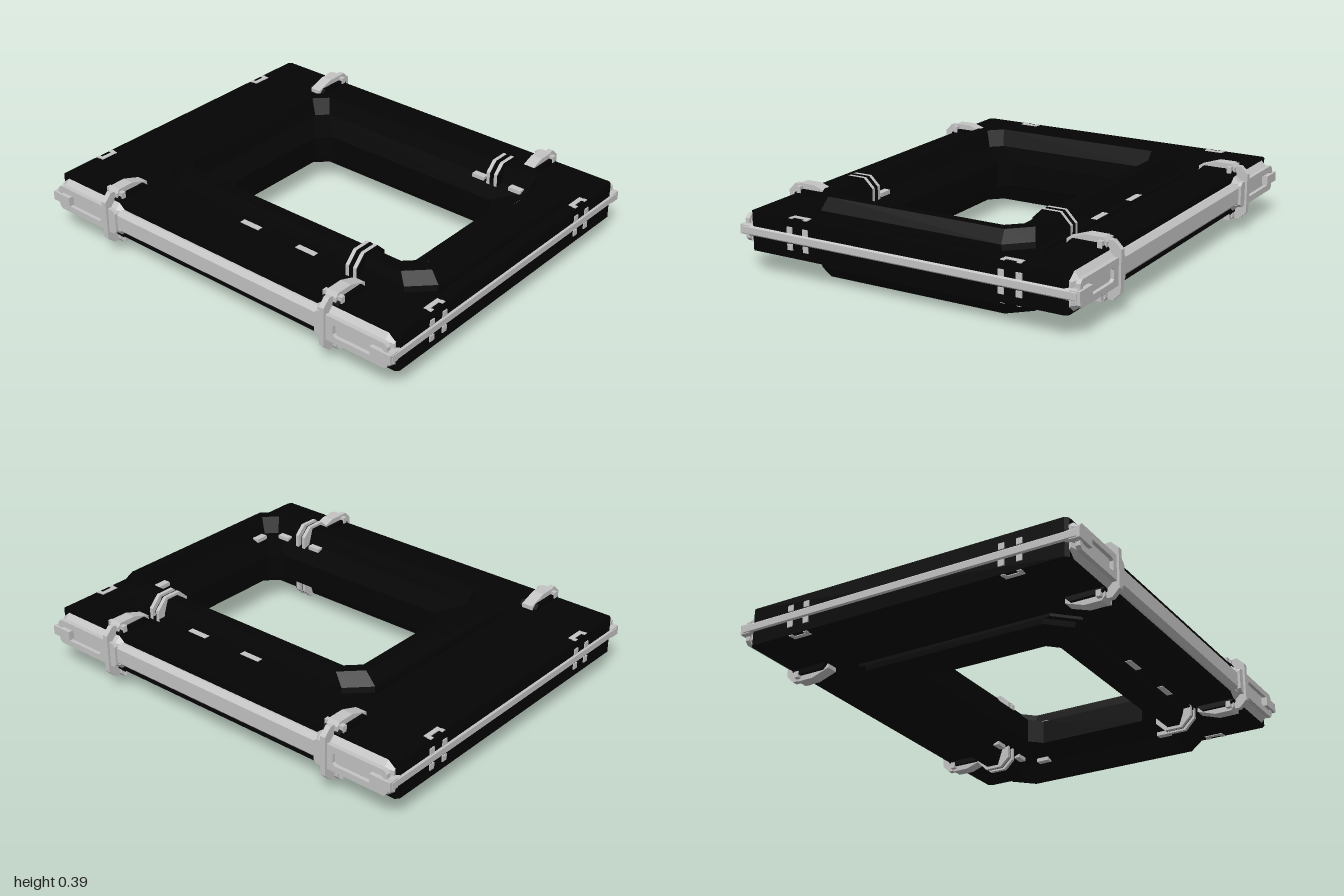
import * as THREE from 'three';

const MID = 0.197; // height of the horizontal symmetry plane

export function createModel() {
  const model = new THREE.Group();
  const black = new THREE.MeshStandardMaterial({ color: 0x040404, flatShading: true });
  black.name = 'black';
  const silver = new THREE.MeshStandardMaterial({ color: 0xc4c4c4, flatShading: true });
  silver.name = 'silver';

  const add = (name, geo, mat, parent = model) => {
    const mesh = new THREE.Mesh(geo, mat);
    mesh.name = name;
    parent.add(mesh);
    return mesh;
  };
  const box = (name, mat, w, h, d, x, y, z, parent = model) => {
    const mesh = add(name, new THREE.BoxGeometry(w, h, d), mat, parent);
    mesh.position.set(x, y, z);
    return mesh;
  };
  const poly = (pts) => new THREE.Shape(pts.map(([x, y]) => new THREE.Vector2(x, y)));
  const cutRect = (x0, x1, y0, y1, c) => [
    [x0 + c, y0], [x1 - c, y0], [x1, y0 + c], [x1, y1 - c],
    [x1 - c, y1], [x0 + c, y1], [x0, y1 - c], [x0, y0 + c]];
  // Extrusion along z, centred at z
  const extrude = (shape, depth, z, bevel = null) => {
    const geo = new THREE.ExtrudeGeometry(shape, { depth, bevelEnabled: false, ...bevel });
    return geo.translate(0, 0, z - depth / 2);
  };

  // Flat slab, cut out under the raised frame
  const slabShape = poly(cutRect(-0.79, 0.79, -0.99, 0.99, 0.015));
  slabShape.holes.push(poly(cutRect(-0.5, 0.5, -0.85, 0.52, 0.08)));
  const slab = extrude(slabShape, 0.177, 0);
  slab.rotateX(-Math.PI / 2).translate(0, MID, 0);
  add('slab', slab, black);

  // Raised frame round the opening: octagonal loops of half width, back, front, corner cut, y
  const upper = [
    [0.588, -0.6, 0.93, 0.1, 0.284],
    [0.588, -0.6, 0.93, 0.1, 0.299],
    [0.555, -0.6, 0.93, 0.1, 0.3],
    [0.55, -0.598, 0.928, 0.1, 0.325],
    [0.53, -0.54, 0.885, 0.09, 0.377],
    [0.47, -0.5, 0.84, 0.06, 0.377],
    [0.445, -0.47, 0.81, 0.05, 0.3],
    [0.335, -0.368, 0.678, 0.058, 0.256]];
  const sections = [...upper, ...upper.slice().reverse().map((s) => [...s.slice(0, 4), 2 * MID - s[4]])];
  const loops = sections.map(([x, b, f, c, y]) => [
    [x, y, b + c], [x, y, f - c], [x - c, y, f], [c - x, y, f],
    [-x, y, f - c], [-x, y, b + c], [c - x, y, b], [x - c, y, b]]);
  const verts = [];
  loops.forEach((loop, i) => {
    const next = loops[(i + 1) % loops.length];
    for (let j = 0; j < 8; j++) {
      const k = (j + 1) % 8;
      verts.push(...loop[j], ...next[j], ...next[k], ...loop[j], ...next[k], ...loop[k]);
    }
  });
  const frameGeo = new THREE.BufferGeometry();
  frameGeo.setAttribute('position', new THREE.Float32BufferAttribute(verts, 3));
  frameGeo.computeVertexNormals();
  add('raisedFrame', frameGeo, black);

  // Edge strips along front and back
  for (const e of [-1, 1]) {
    const strip = extrude(poly(cutRect(-0.025, 0.025, -0.025, 0.025, 0.01)), 1.66, 0);
    add('edgeStrip', strip.rotateY(Math.PI / 2).translate(0, MID, e * 0.972), silver);
  }

  for (const s of [-1, 1]) {
    const xRange = (a, b) => (s > 0 ? [a, b] : [-b, -a]);

    // Side rail
    const [r0, r1] = xRange(0.755, 0.822);
    add('sideRail', extrude(poly(cutRect(r0, r1, MID - 0.058, MID + 0.058, 0.022)), 1.3, 0), silver);

    for (const e of [-1, 1]) {
      // Thick tapered rail end
      const [a, b] = xRange(0.73, 0.797);
      add('railEnd', extrude(poly(cutRect(a, b, MID - 0.066, MID + 0.066, 0.018)), 0.34, e * 0.772,
        { bevelEnabled: true, bevelThickness: 0.035, bevelSize: 0.02, bevelSegments: 1 }), silver);

      // Slotted guard on the rail end
      const guard = poly(cutRect(-0.19, 0.19, -0.06, 0.06, 0.015));
      guard.holes.push(poly(cutRect(-0.09, 0.175, -0.03, 0.03, 0.01)));
      const guardGeo = extrude(guard, 0.022, 0).rotateY(-e * Math.PI / 2);
      add('slottedGuard', guardGeo.translate(s * 0.823, MID, e * 0.78), silver);
      box('cornerCap', silver, 0.05, 0.044, 0.105, s * 0.82, MID, e * 0.942);

      // Clamp: black pad, band round the rail, and arms above and below
      const clamp = new THREE.Group();
      clamp.name = 'clamp';
      clamp.position.z = e * 0.643 - 0.005;
      model.add(clamp);
      const [p0, p1] = xRange(0.61, 0.79);
      add('clampPad', extrude(poly(cutRect(p0, p1, MID - 0.113, MID + 0.113, 0.02)), 0.09, 0), black, clamp);
      const [c0, c1] = xRange(0.755, 0.845);
      add('clampBand', extrude(poly(cutRect(c0, c1, 0.07, 0.325, 0.035)), 0.026, 0), silver, clamp);
      for (const v of [-1, 1]) {
        const pts = [[0.602, 0.085], [0.602, 0.108], [0.69, 0.138], [0.77, 0.138], [0.785, 0.12], [0.785, 0.085]]
          .map(([x, y]) => [s * x, MID + v * y]);
        add('clampArm', extrude(poly(pts), 0.056, 0), silver, clamp);
        box('clampFlange', silver, 0.022, 0.03, 0.1, s * 0.765, MID + v * 0.112, 0, clamp);
      }

      // Edge clips with two posts each
      for (const v of [-1, 1]) {
        box('clipPlate', silver, 0.09, 0.008, 0.022, s * 0.53, MID + v * 0.088, e * 0.96);
        for (const d of [-1, 1]) {
          box('clipTab', silver, 0.02, 0.008, 0.018, s * 0.53 + d * 0.038, MID + v * 0.088, e * 0.979);
          box('clipPost', silver, 0.028, 0.028, 0.014, s * 0.53 + d * 0.042, MID + v * 0.038, e * 0.988);
        }
      }
    }

    for (const v of [-1, 1]) {
      // Paired straps over the frame, faced with black at the front
      const pts = [[0.41, 0.08], [0.59, 0.08], [0.59, 0.142], [0.54, 0.193], [0.455, 0.193], [0.41, 0.15]]
        .map(([x, y]) => [s * x, MID + v * y]);
      for (const z of [0.562, 0.602]) {
        add('strap', extrude(poly(pts), 0.018, z), silver);
        add('strapFacing', extrude(poly(pts), 0.003, z + 0.0105), black);
      }

      // Small inlays lying flat around the frame
      for (const z of [0, 0.32]) {
        box('sideInlay', silver, 0.028, 0.008, 0.105, s * 0.57, MID + v * 0.101, z);
      }
      for (const z of [0.502, 0.702]) {
        box('innerInlay', silver, 0.034, 0.03, 0.065, s * 0.433, MID + v * 0.095, z);
      }
      box('frontInlay', silver, 0.065, 0.03, 0.034, s * 0.34, MID + v * 0.095, 0.792);
    }
  }
  return model;
}
